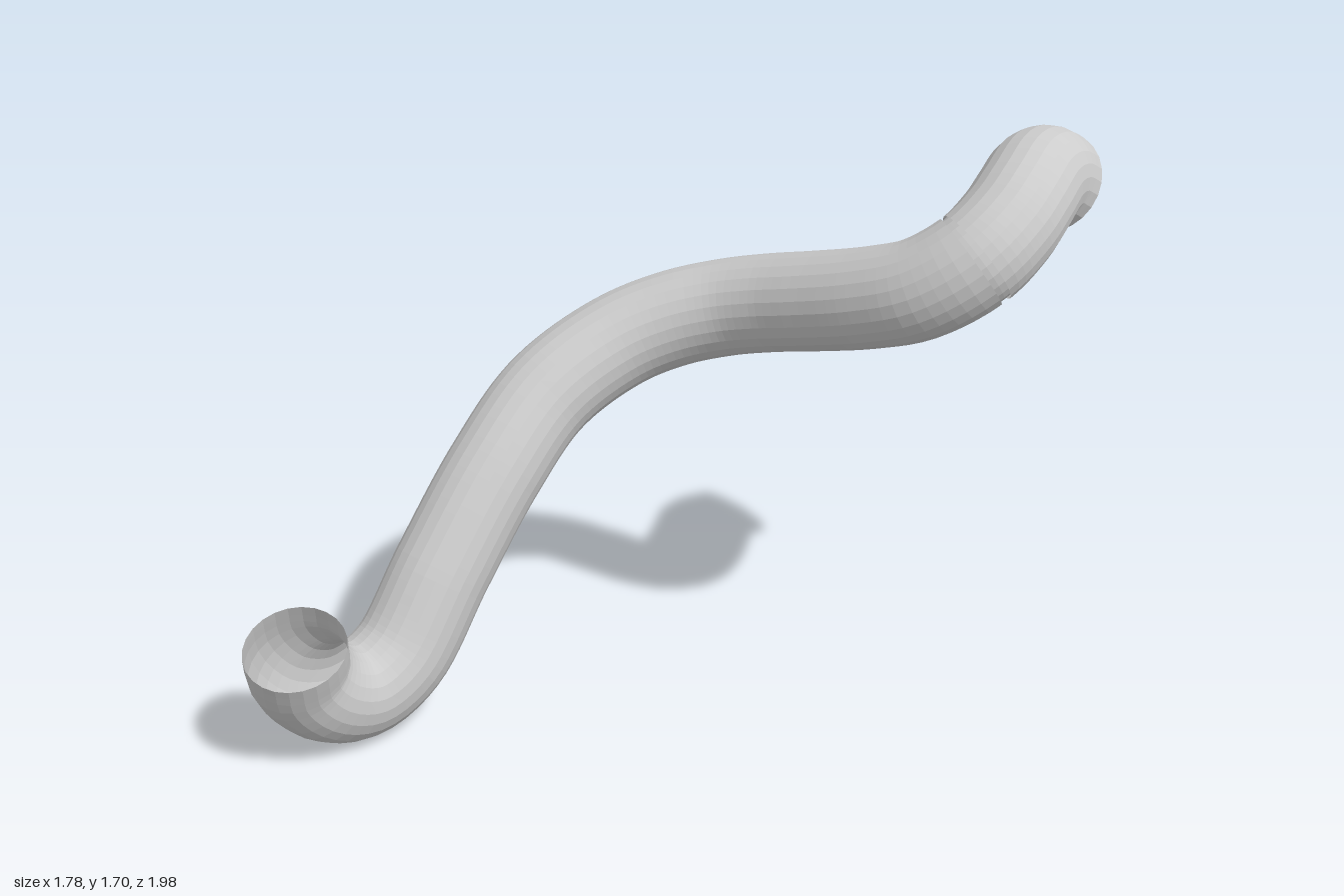
import * as THREE from 'three';

const RADIUS = 0.148;
const SIDES = 24;

// A stretch of a longer path between two arc-length fractions
class PathSection extends THREE.Curve {
  constructor(path, from, to) {
    super();
    this.path = path;
    this.from = from;
    this.to = to;
  }
  getPoint(t, target = new THREE.Vector3()) {
    return this.path.getPointAt(THREE.MathUtils.lerp(this.from, this.to, t), target);
  }
}

export function createModel() {
  const group = new THREE.Group();
  group.name = 'bentPipe';
  const material = new THREE.MeshStandardMaterial({
    color: 0xcccccc, flatShading: true, side: THREE.DoubleSide,
  });

  // Centreline from the lower open mouth to the upper one
  const seam = new THREE.Vector3(0.675, 1.385, -0.525);
  const points = [
    [-0.715, 0.39, 0.85], [-0.738, 0.285, 0.81], [-0.72, 0.19, 0.73],
    [-0.69, 0.152, 0.62], [-0.65, 0.21, 0.49], [-0.605, 0.44, 0.315],
    [-0.555, 0.69, 0.105], [-0.5, 0.875, -0.1], [-0.38, 1.0, -0.3],
    [-0.25, 1.065, -0.41], [-0.1, 1.11, -0.478], [0.05, 1.148, -0.494],
    [0.2, 1.185, -0.482], [0.4, 1.24, -0.464], [0.55, 1.295, -0.468],
    seam.toArray(),
    [0.722, 1.46, -0.625], [0.732, 1.51, -0.71], [0.732, 1.55, -0.81],
    [0.738, 1.55, -0.865], [0.75, 1.522, -0.922],
  ].map((p) => new THREE.Vector3(...p));
  const path = new THREE.CatmullRomCurve3(points);
  path.arcLengthDivisions = 600;

  // Fraction along the path closest to the seam
  let seamAt = 0;
  let best = Infinity;
  for (let i = 0; i <= 800; i++) {
    const d = path.getPointAt(i / 800).distanceTo(seam);
    if (d < best) { best = d; seamAt = i / 800; }
  }

  const addTube = (name, from, to, segments, radius) => {
    const section = new PathSection(path, from, to);
    const mesh = new THREE.Mesh(
      new THREE.TubeGeometry(section, segments, radius, SIDES, false), material);
    mesh.name = name;
    group.add(mesh);
  };

  // Long lower pipe, short upper elbow and the shallow groove between them
  const gap = 0.003;
  addTube('mainPipe', 0, seamAt - gap, 90, RADIUS);
  addTube('upperElbow', seamAt + gap, 1, 24, RADIUS);
  addTube('jointGroove', seamAt - 2 * gap, seamAt + 2 * gap, 2, RADIUS - 0.008);

  return group;
}
